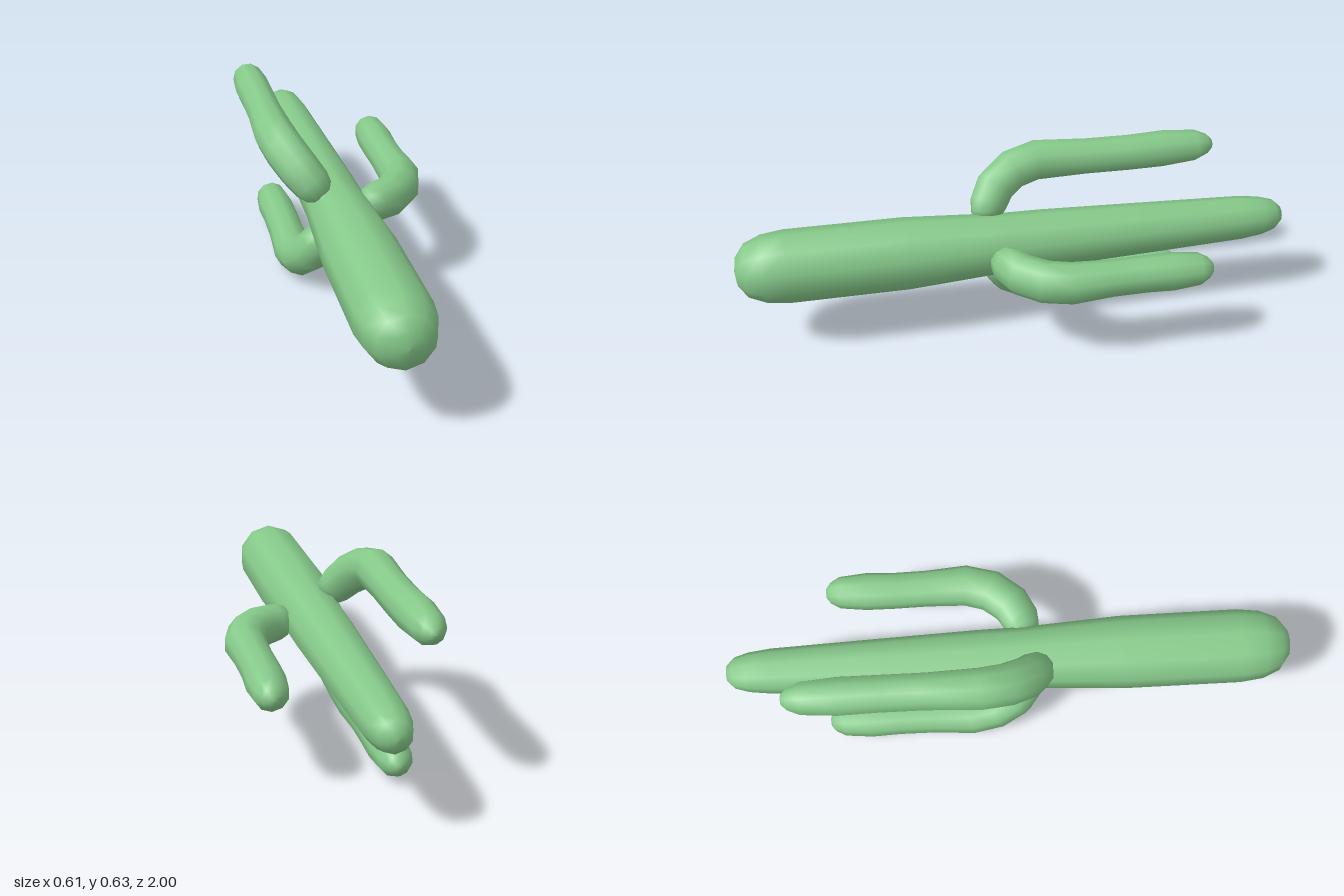
import * as THREE from 'three';

const SIDES = 10;
const green = new THREE.MeshStandardMaterial({ color: 0x86c98a });

// Round tube lofted along a path in the xz plane; each station is [x, z, radius]
function loft(stations) {
  const pos = [], idx = [];
  stations.forEach(([x, z, r], i) => {
    const a = stations[Math.max(i - 1, 0)];
    const b = stations[Math.min(i + 1, stations.length - 1)];
    const len = Math.hypot(b[0] - a[0], b[1] - a[1]);
    const tx = (b[0] - a[0]) / len, tz = (b[1] - a[1]) / len;
    for (let j = 0; j < SIDES; j++) {
      const t = ((j + 0.5) / SIDES) * Math.PI * 2;
      const c = r * Math.cos(t);
      pos.push(x + tz * c, r * Math.sin(t), z - tx * c);
      if (i < stations.length - 1) {
        const k = (j + 1) % SIDES, p = i * SIDES, q = p + SIDES;
        idx.push(p + j, p + k, q + k, p + j, q + k, q + j);
      }
    }
  });
  const g = new THREE.BufferGeometry();
  g.setAttribute('position', new THREE.Float32BufferAttribute(pos, 3));
  g.setIndex(idx);
  g.computeVertexNormals();
  return g;
}

// Arm: root bulb at the trunk, elbow, then a straight run with a rounded tip
// x is the distance from the trunk axis
const ARM = [
  [0.088, 0.066, 0.001], [0.093, 0.065, 0.035], [0.11, 0.063, 0.056], [0.145, 0.052, 0.068],
  [0.205, 0.02, 0.073], [0.262, -0.05, 0.074], [0.288, -0.14, 0.073],
  [0.284, -0.28, 0.065], [0.282, -0.4, 0.065], [0.285, -0.5, 0.067],
  [0.286, -0.595, 0.057], [0.286, -0.628, 0.038], [0.286, -0.643, 0.018], [0.286, -0.645, 0.001],
];

function arm(name, angle, shift, stretch) {
  const bend = -0.14;
  const path = ARM.map(([x, z, r]) => [x, shift + (z < bend ? bend + (z - bend) * stretch : z), r]);
  const mesh = new THREE.Mesh(loft(path), green);
  mesh.name = name;
  mesh.rotation.z = THREE.MathUtils.degToRad(angle);
  return mesh;
}

export function createModel() {
  const group = new THREE.Group();
  group.name = 'cactus';

  const plant = new THREE.Group();
  plant.name = 'plant';
  plant.position.set(-0.052, 0.34, 0);
  group.add(plant);

  // Trunk: lathe profile [radius, z] from the thin tip to the thick base
  const profile = [
    [0, -1], [0.03, -0.995], [0.055, -0.97], [0.07, -0.92], [0.08, -0.84], [0.094, -0.45],
    [0.106, -0.1], [0.108, 0.05], [0.129, 0.4], [0.13, 0.82],
    [0.12, 0.9], [0.095, 0.96], [0.05, 0.993], [0, 1],
  ].map(([r, z]) => new THREE.Vector2(r, z));
  const trunk = new THREE.Mesh(new THREE.LatheGeometry(profile, SIDES).rotateX(Math.PI / 2), green);
  trunk.name = 'trunk';
  plant.add(trunk);

  // Three arms spread around the trunk
  plant.add(
    arm('leftArm', 0, 0, 1),
    arm('upperArm', 129, 0.035, 1.32),
    arm('lowerArm', 246, 0, 1.04),
  );
  return group;
}
